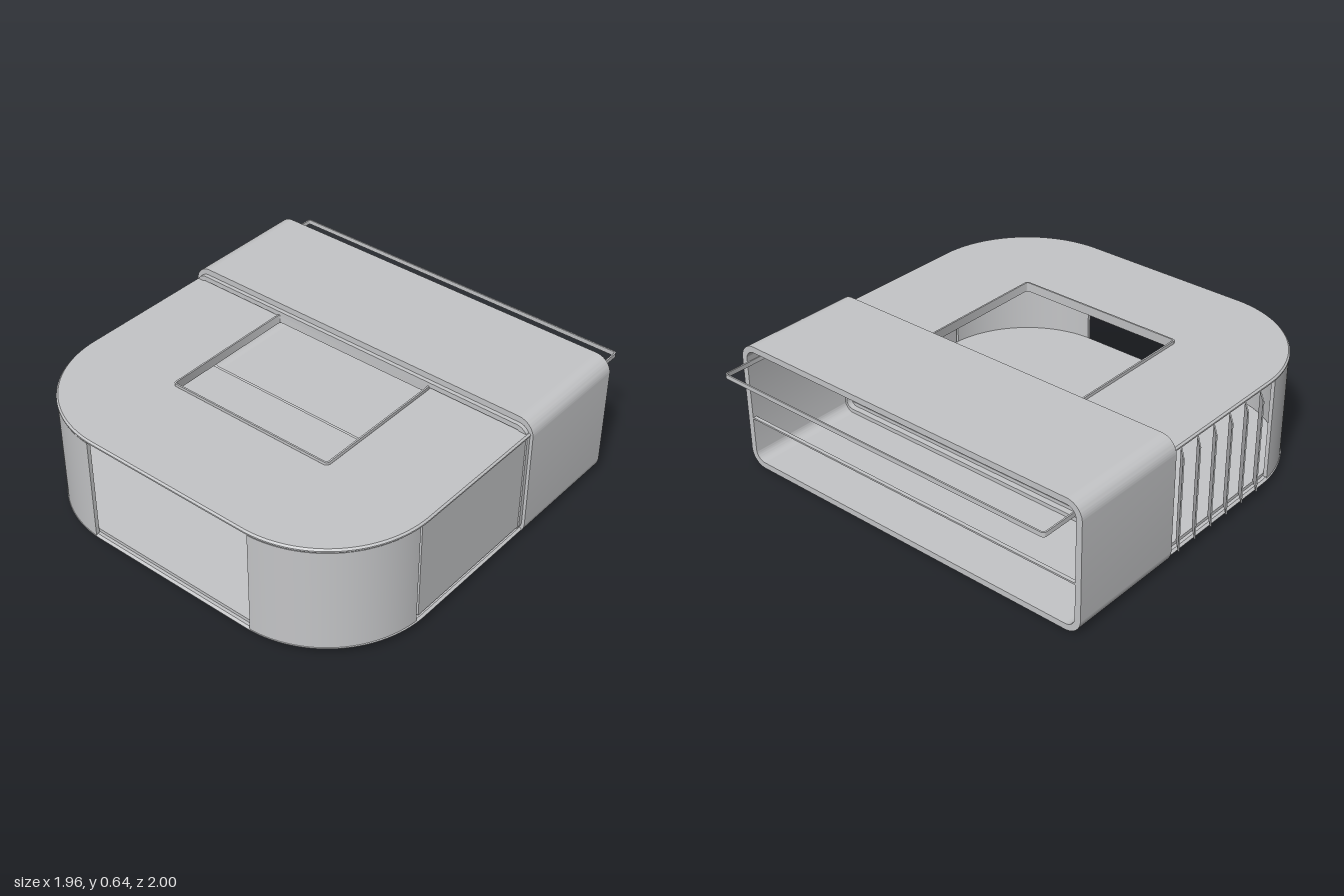
import * as THREE from 'three';
import { toCreasedNormals } from 'three/addons/utils/BufferGeometryUtils.js';

const CX = 0.01; // middle of the body across x

// Rounded rectangle path
function roundRect(path, x0, y0, x1, y1, r) {
  path.moveTo(x0 + r, y0);
  path.lineTo(x1 - r, y0);
  path.absarc(x1 - r, y0 + r, r, -Math.PI / 2, 0, false);
  path.lineTo(x1, y1 - r);
  path.absarc(x1 - r, y1 - r, r, 0, Math.PI / 2, false);
  path.lineTo(x0 + r, y1);
  path.absarc(x0 + r, y1 - r, r, Math.PI / 2, Math.PI, false);
  path.lineTo(x0, y0 + r);
  path.absarc(x0 + r, y0 + r, r, Math.PI, Math.PI * 1.5, false);
  return path;
}

// Rounded rectangle with a rounded hole of wall thickness t
function ringShape(x0, y0, x1, y1, r, t) {
  const s = roundRect(new THREE.Shape(), x0, y0, x1, y1, r);
  s.holes.push(roundRect(new THREE.Path(), x0 + t, y0 + t, x1 - t, y1 - t, Math.max(r - t, 0.008)));
  return s;
}

// D-shaped plan outline; shape y is -z
function planShape(inset) {
  const hw = 0.955 - inset, front = -0.995 + inset, r = 0.53 - inset;
  const s = new THREE.Shape();
  s.moveTo(CX - hw, 0.25);
  s.lineTo(CX - hw, front + r);
  s.absarc(CX - hw + r, front + r, r, Math.PI, Math.PI * 1.5, false);
  s.lineTo(CX + hw - r, front);
  s.absarc(CX + hw - r, front + r, r, Math.PI * 1.5, Math.PI * 2, false);
  s.lineTo(CX + hw, 0.25);
  return s;
}

// Extrude along z, starting at z0
function extrudeZ(shape, z0, depth) {
  const g = new THREE.ExtrudeGeometry(shape, { depth, bevelEnabled: false, curveSegments: 12 });
  return toCreasedNormals(g.translate(0, 0, z0), 0.5);
}

// Extrude upwards between y0 and y1, with an optional chamfer
function extrudeY(shape, y0, y1, b = 0) {
  const g = new THREE.ExtrudeGeometry(shape, {
    depth: y1 - y0 - 2 * b, bevelEnabled: b > 0, bevelThickness: b, bevelSize: b,
    bevelOffset: -b, bevelSegments: 1, curveSegments: 32,
  });
  g.rotateX(-Math.PI / 2).translate(0, y0 + b, 0);
  return toCreasedNormals(g, 0.5);
}

export function createModel() {
  const group = new THREE.Group();
  const grey = new THREE.MeshStandardMaterial({ color: 0xc4c5c7 });
  grey.name = 'light grey';

  const add = (name, geometry) => {
    const m = new THREE.Mesh(geometry, grey);
    m.name = name;
    group.add(m);
    return m;
  };
  const box = (name, x0, x1, y0, y1, z0, z1) =>
    add(name, new THREE.BoxGeometry(x1 - x0, y1 - y0, z1 - z0)
      .translate((x0 + x1) / 2, (y0 + y1) / 2, (z0 + z1) / 2));

  // Rear sleeve, open at both ends, and its stepped collar
  add('rearSleeve', extrudeZ(ringShape(-0.96, 0, 0.977, 0.64, 0.08, 0.03), -0.845, 0.605));
  add('collar', extrudeZ(ringShape(-0.945, 0.025, 0.962, 0.61, 0.06, 0.025), -0.28, 0.06));

  // Floor: chamfered plate with a slightly raised inner slab
  add('floorPlate', extrudeY(planShape(0), 0.03, 0.052, 0.01));
  add('innerFloor', extrudeY(planShape(0.025), 0.05, 0.068));

  // Roof plate with the rectangular opening
  const hole = () => roundRect(new THREE.Path(), -0.425, -0.472, 0.44, 0.23, 0.015);
  const roof = planShape(0);
  roof.holes.push(hole());
  add('roofPlate', extrudeY(roof, 0.557, 0.58, 0.008));
  const liner = planShape(0.025);
  liner.holes.push(hole());
  add('roofLiner', extrudeY(liner, 0.545, 0.56));
  add('openingLip', extrudeY(ringShape(-0.43, -0.478, 0.445, 0.23, 0.015, 0.008), 0.55, 0.592));

  // Curved corner walls either side of the front opening
  for (const side of [1, -1]) {
    const r = 0.525, t = 0.018, cx = CX + side * 0.425, cy = -0.468;
    const a0 = -0.09, a1 = -Math.PI / 2 + 0.05;
    const from = side > 0 ? a0 : Math.PI - a0;
    const to = side > 0 ? a1 : Math.PI - a1;
    const s = new THREE.Shape();
    s.absarc(cx, cy, r, from, to, side > 0);
    s.absarc(cx, cy, r - t, to, from, side < 0);
    add(side > 0 ? 'leftCornerWall' : 'rightCornerWall', extrudeY(s, 0.045, 0.56));
  }

  // Flat side panel, leaving a narrow slot before the corner wall
  box('sidePanel', 0.94, 0.955, 0.065, 0.553, -0.235, 0.5);

  // Slanted louvre slats on the other side
  for (let i = 0; i < 6; i++) {
    const slat = add('louvreSlat', new THREE.BoxGeometry(0.085, 0.465, 0.006));
    slat.position.set(-0.952, 0.307, -0.185 + i * 0.116);
    slat.rotation.y = -Math.PI / 4 - 0.05;
  }

  // Thin rectangular frame, partly pulled out at the back
  add('slidingFrame', extrudeY(ringShape(-0.9, 0.69, 0.918, 1, 0.015, 0.007), 0.545, 0.567));

  // Cross bar in the rear opening
  box('rearCrossBar', -0.935, 0.95, 0.245, 0.253, -0.843, -0.825);

  return group;
}
